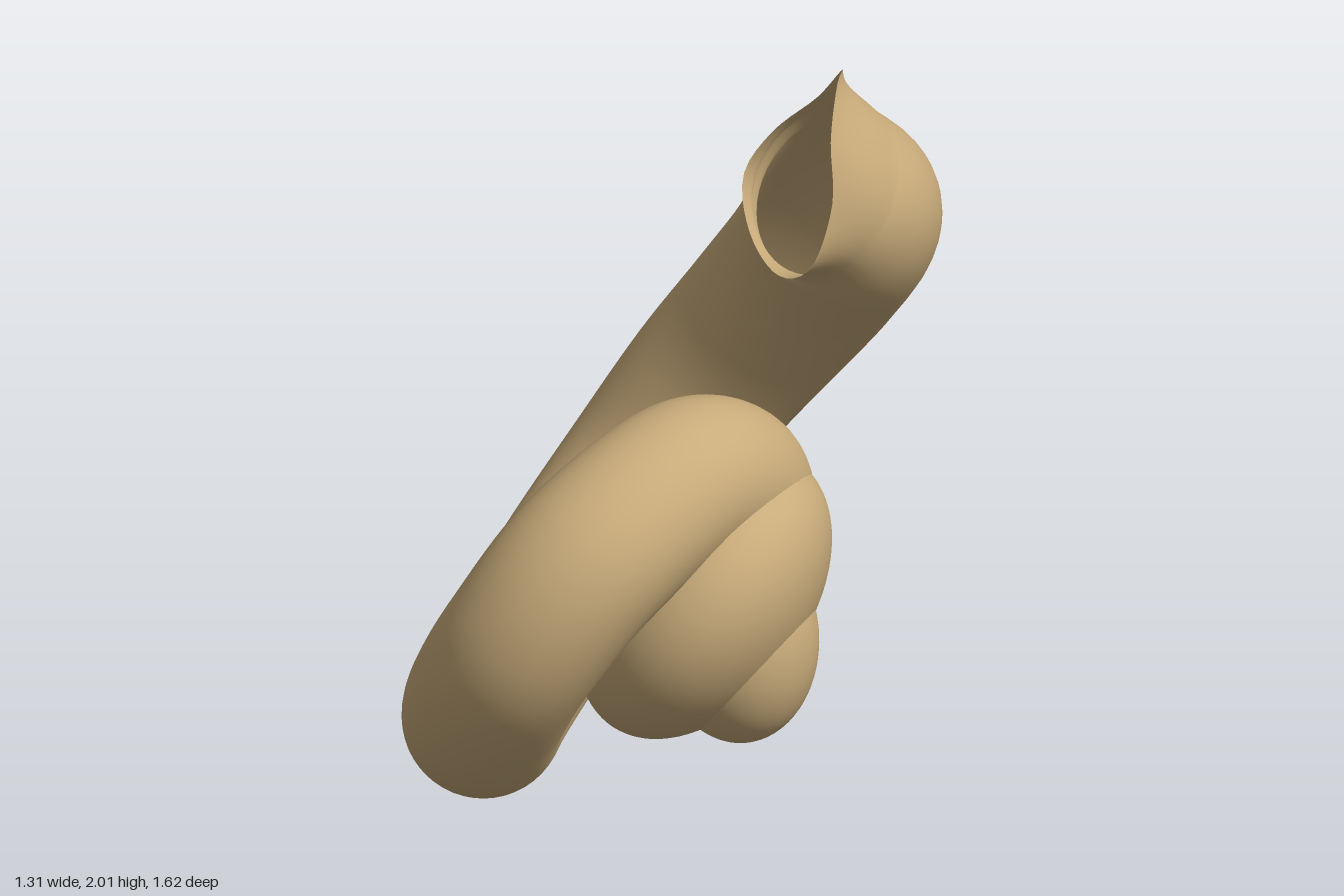
import * as THREE from 'three';

// Centre line of the coil, from the flared mouth into the inner dome: x, y, z, radius
const PATH = [
  [0.3, 1.74, -0.07, 0.2], [0.365, 1.66, -0.175, 0.225], [0.395, 1.54, -0.295, 0.25], [0.275, 1.32, -0.455, 0.245],
  [0.12, 1.1, -0.55, 0.235], [-0.05, 0.87, -0.585, 0.225], [-0.21, 0.62, -0.545, 0.22], [-0.35, 0.4, -0.4, 0.215],
  [-0.435, 0.25, -0.2, 0.21], [-0.455, 0.205, 0.03, 0.205], [-0.425, 0.26, 0.29, 0.21], [-0.355, 0.42, 0.485, 0.215],
  [-0.24, 0.63, 0.595, 0.217], [-0.08, 0.855, 0.52, 0.222], [0.09, 0.975, 0.27, 0.215], [0.165, 0.9, 0.06, 0.212],
  [0.14, 0.72, -0.085, 0.212], [0.09, 0.58, 0.02, 0.19],
];

// Irregular lip of the mouth, clockwise from its peak
const LIP = [
  [0.425, 2.0, -0.09], [0.435, 1.89, 0.015], [0.45, 1.72, 0.06], [0.4, 1.55, 0.1], [0.3, 1.49, 0.03],
  [0.18, 1.54, -0.12], [0.145, 1.66, -0.2], [0.21, 1.77, -0.24], [0.33, 1.88, -0.25], [0.41, 1.99, -0.2],
];

const SIDES = 48, STEPS = 10, CAP = 10;
const v3 = (a) => new THREE.Vector3(a[0], a[1], a[2]);

function coilGeometry() {
  const curve = new THREE.CatmullRomCurve3(PATH.map(v3), false, 'catmullrom', 0.5);
  const radii = new THREE.CatmullRomCurve3(PATH.map((p) => new THREE.Vector3(p[3], 0, 0)), false, 'catmullrom', 0.5);
  const lip = new THREE.CatmullRomCurve3(LIP.map(v3), true).getSpacedPoints(SIDES);
  const positions = [], index = [], flare = [];
  const count = (PATH.length - 1) * STEPS;
  const normal = v3(LIP[0]).sub(v3(PATH[0]));
  const binormal = new THREE.Vector3();
  let rings = 0;

  const addRing = (centre, radius, weight) => {
    for (let j = 0; j < SIDES; j++) {
      const a = (j / SIDES) * Math.PI * 2;
      const p = centre.clone().addScaledVector(normal, radius * Math.cos(a)).addScaledVector(binormal, radius * Math.sin(a));
      if (rings === 0) flare.push(lip[j].clone().sub(p));
      if (weight > 0) p.addScaledVector(flare[j], weight);
      positions.push(p.x, p.y, p.z);
    }
    rings++;
  };

  // Rings along the path, turned without twist; the first ones flare out to the lip
  let centre, tangent, radius;
  for (let i = 0; i <= count; i++) {
    const t = i / count;
    centre = curve.getPoint(t);
    tangent = curve.getTangent(t);
    radius = radii.getPoint(t).x;
    normal.addScaledVector(tangent, -normal.dot(tangent)).normalize();
    binormal.crossVectors(tangent, normal);
    addRing(centre, radius, Math.max(0, 1 - i / (STEPS * 1.8)) ** 2);
  }
  // Rounded inner end
  for (let k = 1; k <= CAP; k++) {
    const a = (k / CAP) * Math.PI / 2;
    addRing(centre.clone().addScaledVector(tangent, radius * Math.sin(a)), radius * Math.max(Math.cos(a), 0.001), 0);
  }

  for (let i = 0; i < rings - 1; i++) {
    for (let j = 0; j < SIDES; j++) {
      const a = i * SIDES + j, b = i * SIDES + (j + 1) % SIDES;
      index.push(a, b, a + SIDES, b, b + SIDES, a + SIDES);
    }
  }
  const geometry = new THREE.BufferGeometry();
  geometry.setAttribute('position', new THREE.Float32BufferAttribute(positions, 3));
  geometry.setIndex(index);
  geometry.computeVertexNormals();
  return geometry;
}

export function createModel() {
  const group = new THREE.Group();
  group.name = 'spiralTube';
  const tan = new THREE.MeshStandardMaterial({ color: 0xc8ab7a, side: THREE.DoubleSide });
  tan.name = 'tan';
  const add = (name, geometry) => {
    const mesh = new THREE.Mesh(geometry, tan);
    mesh.name = name;
    group.add(mesh);
    return mesh;
  };
  const addEllipsoid = (name, centre, radii, tilt) => {
    const mesh = add(name, new THREE.SphereGeometry(1, 64, 40));
    mesh.position.set(...centre);
    mesh.scale.set(...radii);
    mesh.rotation.z = tilt;
  };

  add('coil', coilGeometry());
  // Inner turn, grown together into a flattened dome across the coil's axis
  addEllipsoid('innerDome', [0.125, 0.605, 0.125], [0.275, 0.42, 0.42], -0.57);
  // Web closing the gap between the outer turn and the dome
  addEllipsoid('innerWeb', [0.055, 0.74, 0.04], [0.2, 0.38, 0.32], -0.57);
  // Soft lobe where the coil ends on the dome
  addEllipsoid('endLobe', [0.225, 0.515, 0.17], [0.21, 0.285, 0.235], 0.1);
  return group;
}
